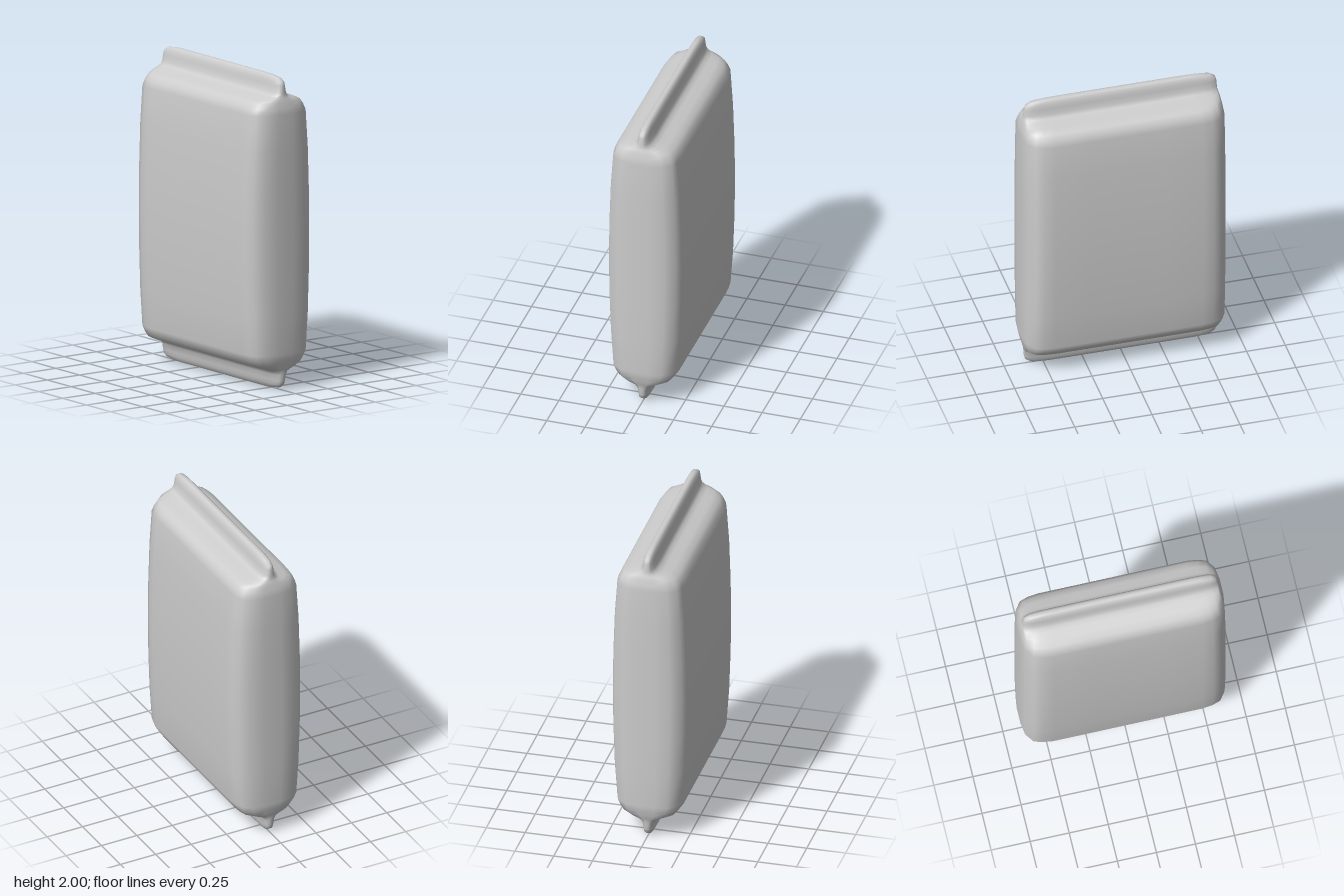
import * as THREE from 'three';

// Upper half of the pouch: height above the middle, half thickness, half width
const PROFILE = [
  [0, 0.247, 0.652], [0.25, 0.244, 0.652], [0.53, 0.234, 0.652], [0.765, 0.217, 0.65],
  [0.805, 0.2, 0.642], [0.837, 0.178, 0.635], [0.855, 0.135, 0.63], [0.868, 0.085, 0.627],
  [0.88, 0.058, 0.625], [0.902, 0.043, 0.623], [0.94, 0.037, 0.62], [0.965, 0.033, 0.613],
  [0.985, 0.025, 0.585], [0.995, 0.016, 0.52], [0.998, 0.007, 0.47],
];

// Quarter of a cross-section, as fractions of half thickness and half width
const QUARTER = [[1, 0], [1, 0.37], [1, 0.735], [0.96, 0.84], [0.88, 0.92], [0.62, 0.982], [0.25, 1]];

function sectionLoop() {
  const back = [...QUARTER].reverse();
  return [
    ...QUARTER,
    ...back.map(([x, z]) => [-x, z]),
    ...QUARTER.slice(1).map(([x, z]) => [-x, -z]),
    ...back.slice(0, -1).map(([x, z]) => [x, -z]),
  ];
}

// Skin the stacked sections and close both ends
function loft(rings, loop) {
  const n = loop.length;
  const positions = [];
  const index = [];
  for (const [y, hx, hz] of rings) {
    for (const [x, z] of loop) positions.push(x * hx, y, z * hz);
  }
  for (let i = 0; i < rings.length - 1; i++) {
    for (let j = 0; j < n; j++) {
      const k = (j + 1) % n;
      const a = i * n + j, b = i * n + k, c = b + n, d = a + n;
      index.push(a, d, b, b, d, c);
    }
  }
  const bottom = rings.length * n;
  const top = bottom + 1;
  const last = bottom - n;
  positions.push(0, rings[0][0], 0, 0, rings[rings.length - 1][0], 0);
  for (let j = 0; j < n; j++) {
    const k = (j + 1) % n;
    index.push(bottom, j, k, top, last + k, last + j);
  }
  const geometry = new THREE.BufferGeometry();
  geometry.setAttribute('position', new THREE.Float32BufferAttribute(positions, 3));
  geometry.setIndex(index);
  geometry.computeVertexNormals();
  return geometry;
}

export function createModel() {
  const grey = new THREE.MeshStandardMaterial({ color: 0xcccccc });
  grey.name = 'light grey';

  // Mirror the profile so the pouch has a sealed fin at each end
  const upper = PROFILE.map(([y, hx, hz]) => [1.002 + y, hx, hz]);
  const lower = PROFILE.slice(1).reverse().map(([y, hx, hz]) => [1.002 - y, hx, hz]);

  const pouch = new THREE.Mesh(loft([...lower, ...upper], sectionLoop()), grey);
  pouch.name = 'sealedPouch';

  const model = new THREE.Group();
  model.name = 'pouchPacket';
  model.add(pouch);
  return model;
}
